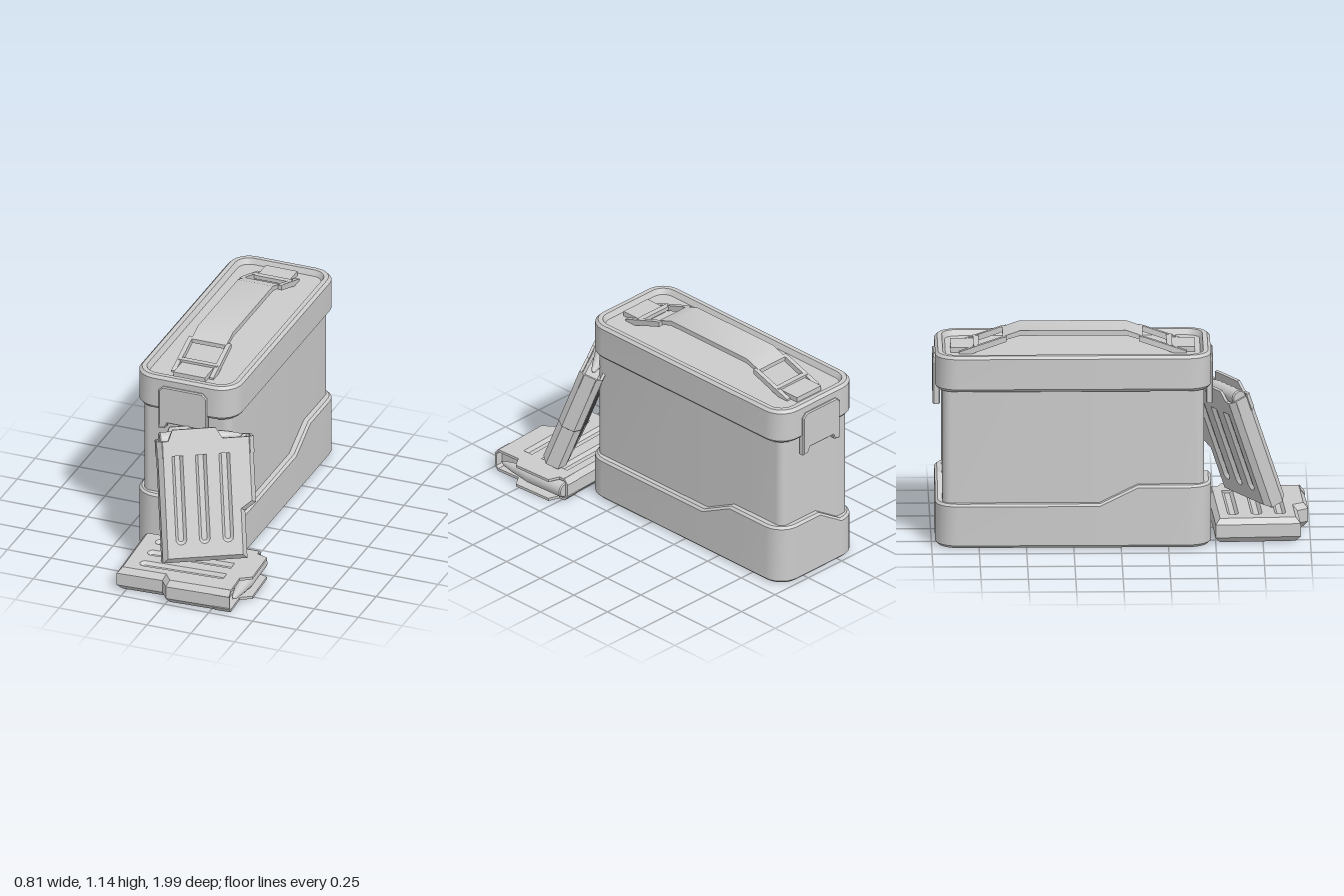
import * as THREE from 'three';
import { toCreasedNormals } from 'three/addons/utils/BufferGeometryUtils.js';

const mat = new THREE.MeshStandardMaterial({ color: 0xcccccc, side: THREE.DoubleSide });

function add(parent, name, geo, x = 0, y = 0, z = 0) {
  const m = new THREE.Mesh(toCreasedNormals(geo, 0.5), mat);
  m.name = name;
  m.position.set(x, y, z);
  parent.add(m);
  return m;
}
const poly = (pts) => new THREE.Shape(pts.map(([a, b]) => new THREE.Vector2(a, b)));
const slab = (shape, depth, opts = {}) =>
  new THREE.ExtrudeGeometry(shape, { depth, bevelEnabled: false, curveSegments: 6, ...opts });

// Rounded-rectangle loop; each point carries a 0/1 flag for the low and high part of the base rim
function loop(hx, hz, r, inset) {
  const half = [], cx = hx - r, cz = hz - r, q = r - inset;
  const corner = (sx, a0, flag) => {
    for (let i = 0; i <= 6; i++) {
      const a = a0 + (i / 6) * Math.PI / 2;
      half.push([sx * cx + q * Math.cos(a), cz + q * Math.sin(a), flag]);
    }
  };
  corner(1, 0, 0);
  half.push([0.16, hz - inset, 0], [0, hz - inset, 1]);
  corner(-1, Math.PI / 2, 1);
  half.push([-hx + inset, 0.34, 1], [-hx + inset, 0.14, 0]);
  return half.concat(half.map(([x, z, f]) => [-x, -z, f]));
}

// Skin through stacked loops, closed at both ends
function loft(hx, hz, r, rings) {
  const pos = [];
  const loops = rings.map(([inset, low, high = low]) =>
    loop(hx, hz, r, inset).map(([x, z, f]) => [x, f ? high : low, z]));
  const n = loops[0].length, tri = (...p) => p.forEach((v) => pos.push(...v));
  for (let i = 0; i + 1 < loops.length; i++) {
    for (let j = 0; j < n; j++) {
      const k = (j + 1) % n, A = loops[i], B = loops[i + 1];
      tri(A[j], B[j], A[k]);
      tri(A[k], B[j], B[k]);
    }
  }
  const bottom = loops[0], top = loops[loops.length - 1];
  const b = [0, rings[0][1], 0], t = [0, rings[rings.length - 1][1], 0];
  for (let j = 0; j < n; j++) {
    const k = (j + 1) % n;
    tri(b, bottom[j], bottom[k]);
    tri(t, top[k], top[j]);
  }
  const g = new THREE.BufferGeometry();
  g.setAttribute('position', new THREE.Float32BufferAttribute(pos, 3));
  return g;
}

// Side profile (z, y) given a width along x
function acrossX(pts, width) {
  return slab(poly(pts), width).translate(0, 0, -width / 2).rotateY(-Math.PI / 2);
}

function makeCan() {
  const can = new THREE.Group();
  can.name = 'ammoCan';
  can.position.set(-0.11, 0, -0.2525);
  const HX = 0.29, HZ = 0.7275;

  add(can, 'body', loft(0.25, 0.69, 0.045, [[0, 0.05], [0, 0.95]]));
  add(can, 'base', loft(HX, HZ, 0.12, [
    [0.015, 0], [0, 0.015], [0, 0.228, 0.328], [0.013, 0.24, 0.34], [0.055, 0.24, 0.34], [0.06, 0.1],
  ]));
  add(can, 'lid', loft(HX, HZ, 0.12, [
    [0.055, 0.855], [0.012, 0.855], [0, 0.87], [0, 1.035], [0.015, 1.05], [0.04, 1.05], [0.055, 1.02],
  ]));

  // Bent grip, side arms and hinge pads
  const handle = new THREE.Group();
  handle.name = 'handle';
  can.add(handle);
  add(handle, 'grip', acrossX([
    [-0.37, 1.085], [-0.37, 1.108], [-0.28, 1.14], [0.28, 1.14],
    [0.37, 1.108], [0.37, 1.085], [0.28, 1.112], [-0.28, 1.112],
  ], 0.2));
  for (const s of [1, -1]) {
    for (const x of [-0.108, 0.108])
      add(handle, 'handleArm', acrossX([
        [s * 0.35, 1.112], [s * 0.38, 1.106], [s * 0.6, 1.03], [s * 0.6, 1.01], [s * 0.56, 1.01], [s * 0.35, 1.085],
      ], 0.024), x);
    add(handle, 'armBar', new THREE.BoxGeometry(0.22, 0.022, 0.03), 0, 1.05, s * 0.51);
    add(handle, 'hingePad', new THREE.BoxGeometry(0.18, 0.035, 0.13), 0, 1.03, s * 0.58);
  }

  // End latches with a notched lower edge
  const latch = poly([
    [-0.137, 0.75], [-0.1, 0.755], [-0.085, 0.785], [0.085, 0.785], [0.1, 0.755], [0.137, 0.75],
    [0.137, 0.975], [0.112, 1], [-0.112, 1], [-0.137, 0.975],
  ]);
  for (const s of [1, -1]) {
    const m = add(can, s > 0 ? 'frontLatch' : 'backLatch', slab(latch, 0.026, {
      bevelEnabled: true, bevelSize: 0.006, bevelOffset: -0.006, bevelThickness: 0.006, bevelSegments: 1,
    }), 0, 0, s * 0.708);
    if (s < 0) m.rotation.y = Math.PI;
  }
  return can;
}

// Magazine frame: x across the width, y along the length, z through the thickness
function makeMagazine(name) {
  const mag = new THREE.Group();
  mag.name = name;
  const body = poly([[0, 0], [0.45, 0], [0.45, 0.255], [0.51, 0.295], [0.51, 0.61], [0, 0.61]]);
  for (const u of [0.1, 0.225, 0.35]) {
    const r = 0.004, slot = new THREE.Path();
    slot.absarc(u, 0.575, r, 0, Math.PI);
    slot.absarc(u, 0.125, r, Math.PI, Math.PI * 2);
    slot.closePath();
    body.holes.push(slot);
  }
  add(mag, 'magazineBody', slab(body, 0.07, {
    bevelEnabled: true, bevelSize: 0.025, bevelOffset: -0.025, bevelThickness: 0.03, bevelSegments: 1, curveSegments: 4,
  }), 0, 0, -0.035);
  add(mag, 'grooveFloor', new THREE.BoxGeometry(0.38, 0.54, 0.094), 0.225, 0.33, 0);

  // Open top: side plates with raised feed lips, and end walls
  const plate = poly([
    [0.025, 0.57], [0.485, 0.57], [0.485, 0.65], [0.345, 0.65], [0.31, 0.71], [0.08, 0.71], [0.055, 0.65], [0.025, 0.65],
  ]);
  for (const w of [0.05, -0.065]) add(mag, 'feedLip', slab(plate, 0.015), 0, 0, w);
  for (const u of [0.006, 0.504])
    add(mag, 'endWall', new THREE.BoxGeometry(0.012, 0.09, 0.07), u, 0.605, 0);
  for (const u of [0.0125, 0.4975])
    for (const s of [1, -1]) {
      const m = add(mag, 'cornerWall', new THREE.BoxGeometry(0.039, 0.09, 0.01), u, 0.605, s * 0.048);
      m.rotation.y = s * (u < 0.2 ? -1 : 1) * 0.87;
    }

  // Top cartridge
  const profile = [[0, 0], [0.036, 0], [0.042, 0.006], [0.042, 0.24], [0.036, 0.28], [0.027, 0.35], [0.014, 0.42], [0, 0.45]];
  const round = new THREE.LatheGeometry(profile.map(([r, y]) => new THREE.Vector2(r, y)), 16);
  add(mag, 'cartridge', round.rotateZ(-Math.PI / 2), 0.015, 0.652, 0);
  return mag;
}

function place(mag, u, v, origin) {
  const U = new THREE.Vector3(...u).normalize();
  const W = new THREE.Vector3().crossVectors(U, new THREE.Vector3(...v)).normalize();
  const V = new THREE.Vector3().crossVectors(W, U);
  mag.quaternion.setFromRotationMatrix(new THREE.Matrix4().makeBasis(U, V, W));
  mag.position.set(...origin);
  return mag;
}

export function createModel() {
  const model = new THREE.Group();
  model.name = 'ammoCanWithMagazines';
  model.add(makeCan());
  model.add(place(makeMagazine('lyingMagazine'), [0.055, 0, 0.998], [0.998, 0, -0.055], [-0.32, 0.065, 0.5]));
  model.add(place(makeMagazine('leaningMagazine'), [0.86, 0, -0.5], [-0.17, 0.937, -0.3], [-0.085, 0.147, 0.83]));
  return model;
}
